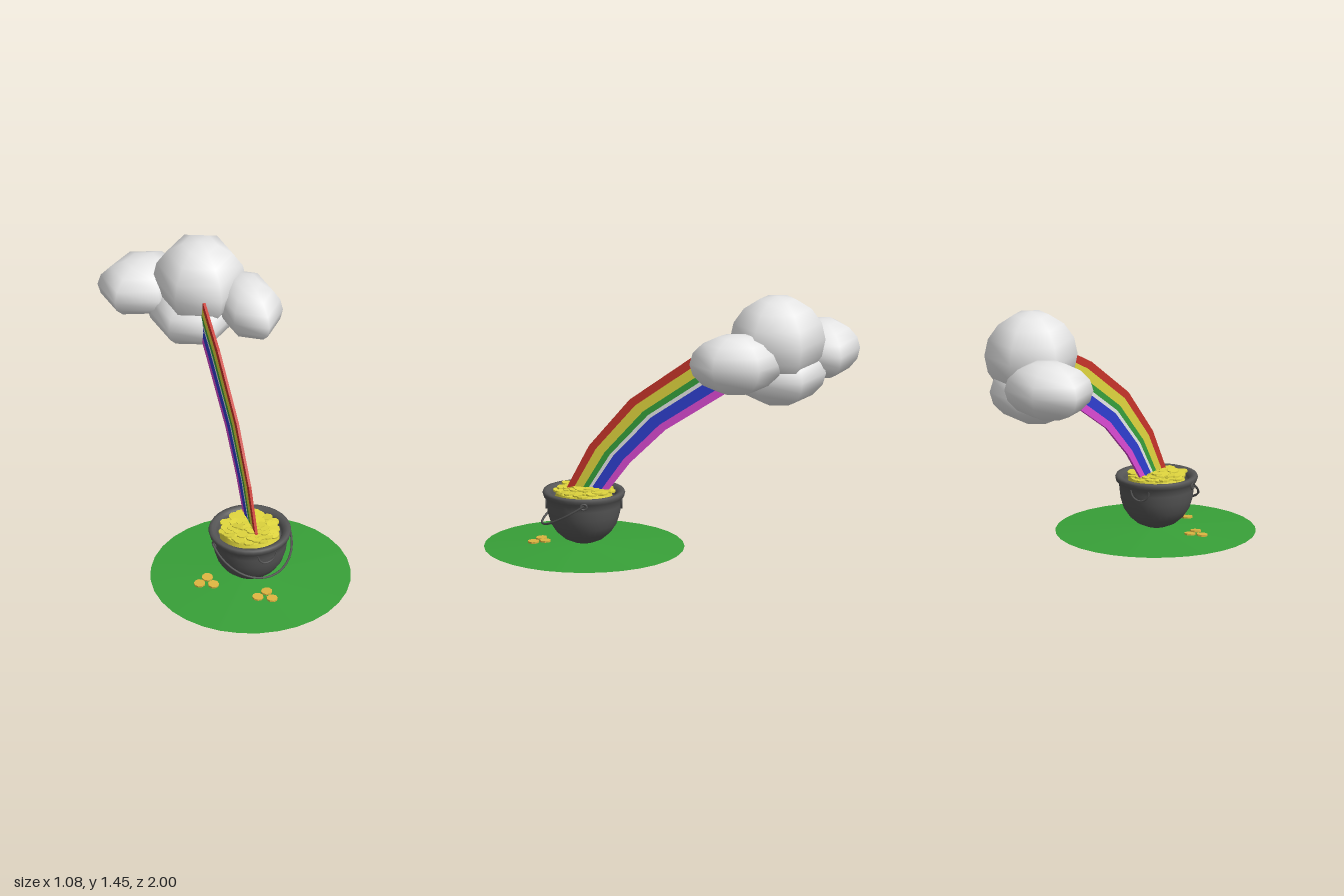
import * as THREE from 'three';

const mat = (name, color, side = THREE.FrontSide) => {
  const m = new THREE.MeshStandardMaterial({ color, side });
  m.name = name;
  return m;
};

export function createModel() {
  const model = new THREE.Group();
  model.name = 'potOfGold';
  const white = mat('white', 0xf0f0f0);
  const grass = mat('grassGreen', 0x38a038);
  const iron = mat('ironGrey', 0x555555, THREE.DoubleSide);
  const gold = mat('gold', 0xe0d63e);
  const oldGold = mat('deepGold', 0xdcb440);
  const add = (parent, name, geometry, material, x = 0, y = 0, z = 0) => {
    const mesh = new THREE.Mesh(geometry, material);
    mesh.name = name;
    mesh.position.set(x, y, z);
    parent.add(mesh);
    return mesh;
  };
  let seed = 7;
  const rand = () => (seed = (seed * 16807) % 2147483647) / 2147483647;

  // Low grassy mound
  add(model, 'grassMound', new THREE.ConeGeometry(0.533, 0.03, 32), grass, -0.01, 0.015, 0.465);

  // Cloud puffs: six-sided spheres with corners facing front and back
  const cloud = new THREE.Group();
  cloud.name = 'cloud';
  model.add(cloud);
  [
    [0.222, 1.205, -0.563, 0.247, 0.24, 0.254],
    [0.188, 1.01, -0.57, 0.247, 0.17, 0.25],
    [0, 1.098, -0.8, 0.248, 0.158, 0.2],
    [0.395, 1.115, -0.342, 0.168, 0.165, 0.248],
  ].forEach(([x, y, z, rx, ry, rz]) => {
    const puff = new THREE.SphereGeometry(1, 6, 8, Math.PI / 2).scale(rx, ry, rz);
    add(cloud, 'cloudPuff', puff, white, x, y, z);
  });

  // Rainbow: each stripe is a band between the outer and inner edge, [z, y]
  const outer = [[0.6, 0.22], [0.553, 0.33], [0.44, 0.556], [0.225, 0.82], [-0.1, 1.064], [-0.42, 1.235]];
  const inner = [[0.39, 0.22], [0.345, 0.305], [0.22, 0.476], [0.033, 0.665], [-0.3, 0.89], [-0.45, 0.985]];
  const lean = Math.atan(0.178);
  const rainbow = new THREE.Group();
  rainbow.name = 'rainbow';
  rainbow.position.set(-0.02, 0, 0.55);
  rainbow.rotation.y = Math.PI / 2 - lean;
  model.add(rainbow);
  const edge = (t) => outer.map(([z, y], i) => {
    const zz = THREE.MathUtils.lerp(z, inner[i][0], t);
    return new THREE.Vector2((0.55 - zz) / Math.cos(lean), THREE.MathUtils.lerp(y, inner[i][1], t));
  });
  [
    ['red', 0xc8342a, 0, 0.17],
    ['yellow', 0xe2da40, 0.17, 0.38],
    ['green', 0x36a03c, 0.38, 0.51],
    ['white', 0, 0.51, 0.59],
    ['blue', 0x2f3fd0, 0.59, 0.83],
    ['magenta', 0xdc4ad4, 0.83, 1],
  ].forEach(([name, color, a, b]) => {
    const shape = new THREE.Shape([...edge(a), ...edge(b).reverse()]);
    const band = new THREE.ExtrudeGeometry(shape, { depth: 0.014, bevelEnabled: false });
    const m = name === 'white' ? white : name === 'yellow' ? gold : mat(name, color);
    add(rainbow, name + 'Stripe', band.translate(0, 0, -0.007), m);
  });

  // Round-bellied pot with a flared lip and hollow inside
  const pot = new THREE.Group();
  pot.name = 'pot';
  pot.position.set(-0.015, 0, 0.467);
  model.add(pot);
  const profile = [
    [0, 0.025], [0.06, 0.03], [0.105, 0.05], [0.145, 0.085], [0.175, 0.13], [0.192, 0.185],
    [0.198, 0.235], [0.2, 0.262], [0.215, 0.28], [0.22, 0.298], [0.215, 0.309], [0.2, 0.311],
    [0.182, 0.304], [0.17, 0.285], [0.166, 0.25], [0, 0.25],
  ].map(([r, y]) => new THREE.Vector2(r, y));
  add(pot, 'potBody', new THREE.LatheGeometry(profile, 32), iron);

  // Bail handle hanging in front, hooked on a lug at each side
  const bail = [];
  for (let i = 0; i <= 16; i++) {
    const a = (i / 16) * Math.PI;
    const s = Math.sin(a);
    bail.push(new THREE.Vector3(0.222 * Math.cos(a), 0.278 - 0.145 * s, 0.222 * s));
  }
  add(pot, 'handle', new THREE.TubeGeometry(new THREE.CatmullRomCurve3(bail), 32, 0.006, 6), iron);
  for (const s of [-1, 1]) {
    const lug = add(pot, 'handleLug', new THREE.TorusGeometry(0.016, 0.006, 6, 12), iron, s * 0.214, 0.272, 0);
    lug.rotation.y = Math.PI / 2;
    // Half-ring ornament on the front and back
    add(pot, 'halfRing', new THREE.TorusGeometry(0.053, 0.005, 6, 16, Math.PI), iron, 0, 0.265, s * 0.2)
      .rotation.z = Math.PI;
  }

  // Coins heaped in the pot in a sunflower spread
  const coins = new THREE.Group();
  coins.name = 'coinHeap';
  pot.add(coins);
  const coin = new THREE.CylinderGeometry(0.03, 0.03, 0.009, 9).toNonIndexed();
  coin.computeVertexNormals();
  add(coins, 'coinBed', new THREE.CylinderGeometry(0.145, 0.16, 0.05, 20), gold, 0, 0.277, 0);
  const count = 60;
  for (let i = 0; i < count; i++) {
    const r = 0.143 * Math.sqrt((i + 0.5) / count);
    const a = i * 2.39996;
    const y = 0.325 - 0.1 * r + 0.012 * (rand() - 0.5);
    const c = add(coins, 'coin', coin, gold, r * Math.cos(a), y, r * Math.sin(a));
    c.rotation.set((rand() - 0.5) * 0.3, rand() * 6.28, (rand() - 0.5) * 0.3);
  }

  // Two small groups of dropped coins on the grass
  [
    [-0.3, 0.02, 0.435], [-0.24, 0.024, 0.41], [-0.24, 0.023, 0.48],
    [-0.085, 0.025, 0.692], [-0.022, 0.022, 0.735], [-0.022, 0.027, 0.672],
  ].forEach(([x, y, z], i) => {
    add(model, 'droppedCoin', coin, oldGold, x, y, z).rotation.set(0.05, i, 0.05);
  });

  return model;
}
